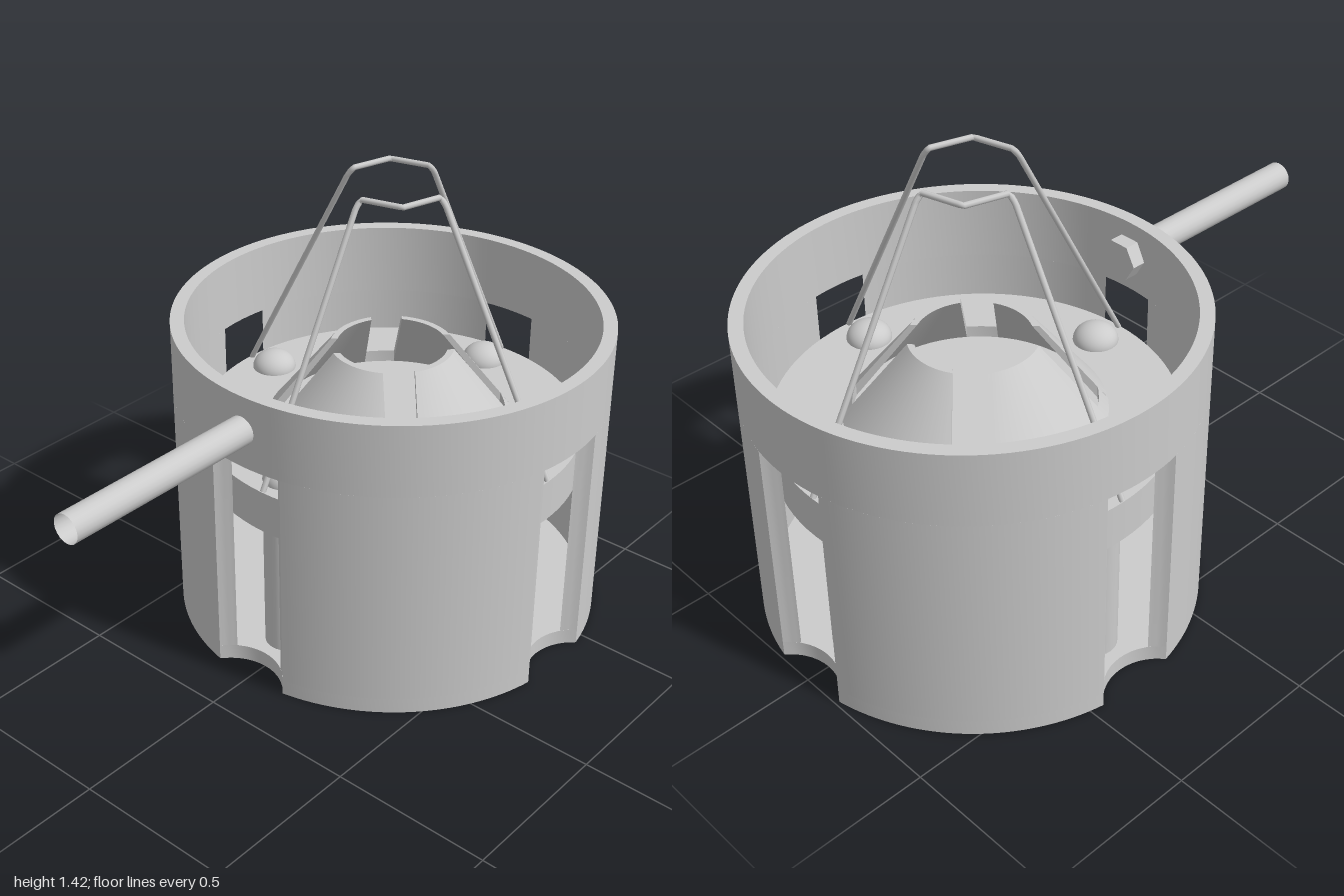
import * as THREE from 'three';
import { toCreasedNormals } from 'three/addons/utils/BufferGeometryUtils.js';

const MAT = new THREE.MeshStandardMaterial({ color: 0xcccccc });
const OPEN = new THREE.MeshStandardMaterial({ color: 0xcccccc, side: THREE.DoubleSide });
const RO = 0.673, RI = 0.63, SLOT = 0.13, SLOT_IN = 0.09;
const NOTCH_R = 0.165, NOTCH_C = 0.762;
const FLOOR_Y = 0.05, SLOT_TOP = 0.76, RIM_Y = 0.99, PLATE_LOW = 0.5, PLATE_Y = 0.635;
const Q = Math.PI / 2;

export function createModel() {
  const root = new THREE.Group();
  const pot = new THREE.Group();
  pot.name = 'stoveBody';
  pot.position.x = 0.327;
  root.add(pot);

  function add(name, geo, mat = MAT) {
    const m = new THREE.Mesh(geo, mat);
    m.name = name;
    pot.add(m);
    return m;
  }
  // Upright prism from a plan shape
  function prism(shape, y0, y1) {
    const g = new THREE.ExtrudeGeometry(shape, { depth: y1 - y0, bevelEnabled: false, curveSegments: 96 });
    g.rotateX(-Q);
    g.translate(0, y0, 0);
    return toCreasedNormals(g, 0.5);
  }
  function arc(r, a0, a1, n = 32) {
    return Array.from({ length: n + 1 }, (_, i) => {
      const a = a0 + (a1 - a0) * i / n;
      return new THREE.Vector2(r * Math.cos(a), r * Math.sin(a));
    });
  }
  // Points on the round notch cut into side k, at sideways offsets t0..t1
  function notch(k, t0, t1, n) {
    return Array.from({ length: n + 1 }, (_, i) => {
      const t = t0 + (t1 - t0) * i / n;
      const r = NOTCH_C - Math.sqrt(NOTCH_R ** 2 - t * t);
      return new THREE.Vector2(r, t).rotateAround(new THREE.Vector2(), k * Q);
    });
  }

  // Floor with four scallops
  const edge = Math.asin(SLOT / RO), inEdge = Math.asin(SLOT_IN / RI);
  const plan = [];
  for (let k = 0; k < 4; k++) {
    plan.push(...notch(k, -SLOT, SLOT, 12).slice(1, -1));
    plan.push(...arc(RO, k * Q + edge, (k + 1) * Q - edge));
  }
  add('floor', prism(new THREE.Shape(plan), 0, FLOOR_Y));

  // Wall quarters between the slots
  for (let k = 0; k < 4; k++) {
    const pts = [
      ...arc(RO, k * Q + edge, (k + 1) * Q - edge),
      ...notch(k + 1, -SLOT, -SLOT_IN, 4).slice(1, -1),
      ...arc(RI, (k + 1) * Q - inEdge, k * Q + inEdge),
      ...notch(k, SLOT_IN, SLOT, 4).slice(1, -1),
    ];
    add('wallQuarter', prism(new THREE.Shape(pts), FLOOR_Y, SLOT_TOP));
  }

  // Closed ring above the slots
  const ring = new THREE.Shape(arc(RO, 0, 4 * Q, 128).slice(0, -1));
  ring.holes.push(new THREE.Path(arc(RI, 0, 4 * Q, 128).slice(0, -1)));
  add('upperWall', prism(ring, SLOT_TOP, RIM_Y));

  // Burner plate
  const plate = new THREE.CylinderGeometry(0.595, 0.595, PLATE_Y - PLATE_LOW, 96);
  add('plate', plate).position.y = (PLATE_Y + PLATE_LOW) / 2;

  // Posts with domed heads
  for (let k = 0; k < 4; k++) {
    const x = 0.49 * Math.cos(k * Q), z = 0.49 * Math.sin(k * Q);
    const h = PLATE_LOW - FLOOR_Y;
    add('post', new THREE.CylinderGeometry(0.07, 0.07, h, 32)).position.set(x, FLOOR_Y + h / 2, z);
    const dome = add('domeHead', new THREE.SphereGeometry(0.07, 32, 12, 0, 4 * Q, 0, Q));
    dome.position.set(x, PLATE_Y, z);
    dome.scale.y = 0.8;
  }

  // Slotted cone: four hollow sectors with parallel-sided gaps on the diagonals
  const section = [[0.385, PLATE_Y], [0.19, 0.885], [0.17, 0.885], [0.355, PLATE_Y]];
  function coneSector(mid) {
    const n = 16, pos = [], idx = [];
    for (let i = 0; i <= n; i++) {
      for (const [r, y] of section) {
        const half = Q / 2 - Math.asin(0.048 / r);
        const a = mid + half * (2 * i / n - 1);
        pos.push(r * Math.cos(a), y, r * Math.sin(a));
      }
    }
    for (let i = 0; i < n; i++) {
      for (let j = 0; j < 4; j++) {
        const a = i * 4 + j, b = i * 4 + (j + 1) % 4;
        idx.push(a, b, a + 4, b, b + 4, a + 4);
      }
    }
    const e = n * 4;
    idx.push(0, 2, 1, 0, 3, 2, e, e + 1, e + 2, e, e + 2, e + 3);
    const g = new THREE.BufferGeometry();
    g.setAttribute('position', new THREE.Float32BufferAttribute(pos, 3));
    g.setIndex(idx);
    return toCreasedNormals(g, 0.5);
  }
  for (let k = 0; k < 4; k++) add('coneSector', coneSector(k * Q), OPEN);
  const lip = [[0.385, PLATE_Y], [0.355, 0.673], [0.355, PLATE_Y]].map(p => new THREE.Vector2(...p));
  add('coneBaseLip', toCreasedNormals(new THREE.LatheGeometry(lip, 64), 0.5), OPEN);

  // Bent wire pot supports, one turned half round from the other
  const V = (x, y, z) => new THREE.Vector3(x, y, z);
  const bends = [
    V(-0.59, 0.635, 0), V(-0.182, 1.39, 0), V(-0.165, 1.413, 0.005), V(-0.132, 1.413, 0.13),
    V(-0.005, 1.413, 0.165), V(0, 1.39, 0.182), V(0, 0.635, 0.59),
  ];
  const path = new THREE.CurvePath();
  for (let i = 1; i < bends.length; i++) path.add(new THREE.LineCurve3(bends[i - 1], bends[i]));
  for (const turn of [0, Math.PI]) {
    add('wireSupport', new THREE.TubeGeometry(path, 160, 0.009, 8), OPEN).rotation.y = turn;
  }

  // Tubular handle and the nut holding it inside the wall
  const x0 = -1, x1 = -0.27;
  const handle = new THREE.Mesh(new THREE.CylinderGeometry(0.045, 0.045, x1 - x0, 20, 1, true), OPEN);
  handle.name = 'handle';
  handle.rotation.z = Q;
  handle.position.set((x0 + x1) / 2, 0.88, 0);
  const nut = new THREE.Mesh(new THREE.CylinderGeometry(0.065, 0.065, 0.05, 6).toNonIndexed(), MAT);
  nut.geometry.computeVertexNormals();
  nut.name = 'handleNut';
  nut.rotation.z = Q;
  nut.position.set(-0.28, 0.88, 0);
  root.add(handle, nut);

  return root;
}
